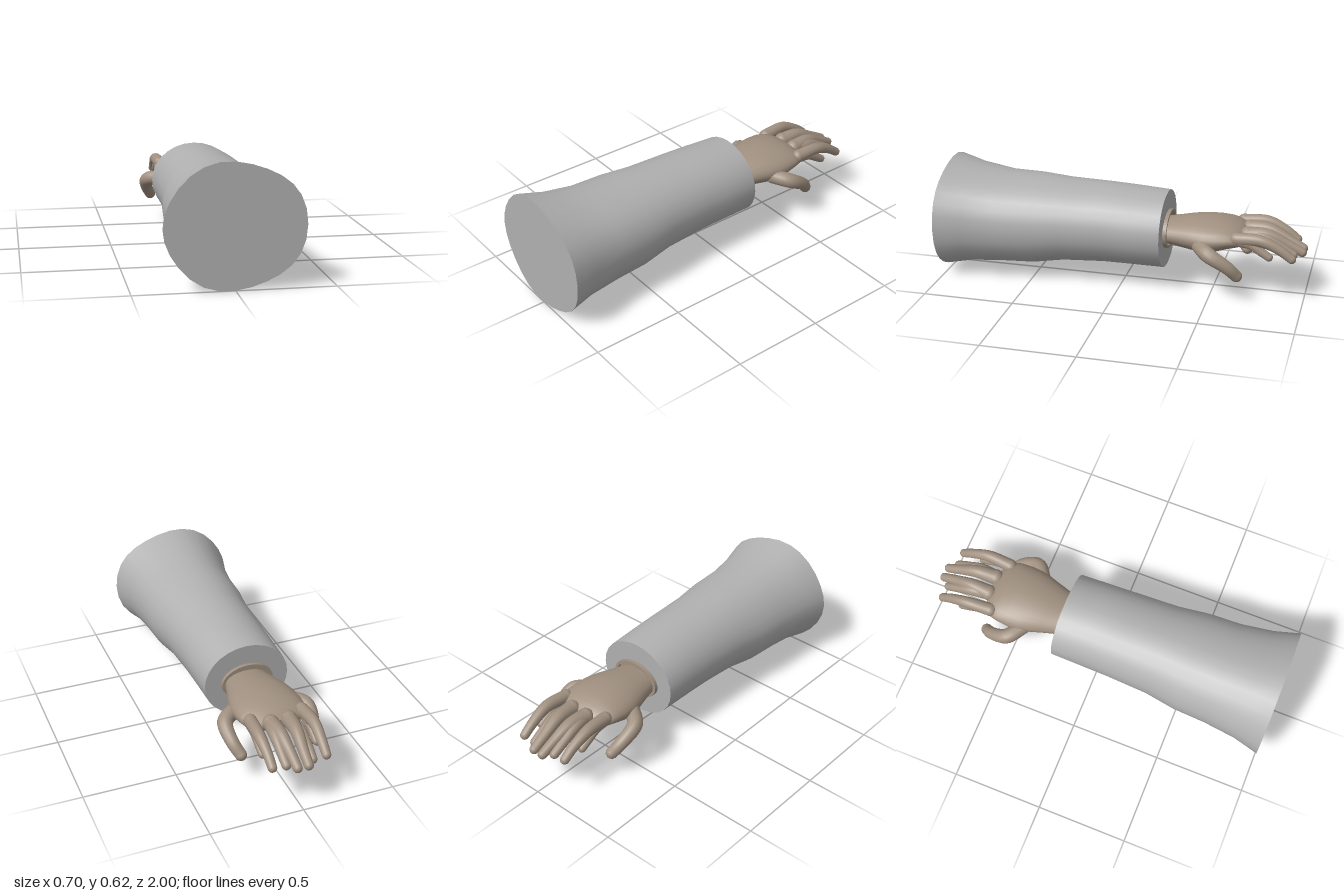
import * as THREE from 'three';

const sleeveGrey = new THREE.MeshStandardMaterial({ color: 0xb0b0b0 });
sleeveGrey.name = 'sleeve grey';
const skinTan = new THREE.MeshStandardMaterial({ color: 0xa09080 });
skinTan.name = 'skin tan';

// Lofts elliptical rings [z, halfWidth, bottomY, topY, skew] running toward -z, with flat caps.
function loft(sections, sides) {
  const pos = [], index = [];
  const ring = ([z, w, y0, y1, skew = 0]) => {
    for (let j = 0; j < sides; j++) {
      const a = (j / sides) * Math.PI * 2;
      const v = Math.cos(a) - skew * Math.sin(4 * a);
      pos.push(w * Math.sin(a), (y0 + y1) / 2 + ((y1 - y0) / 2) * v, z);
    }
  };
  sections.forEach(ring);
  for (let i = 0; i < sections.length - 1; i++) {
    for (let j = 0; j < sides; j++) {
      const a = i * sides + j, b = i * sides + ((j + 1) % sides);
      index.push(a, b, a + sides, b, b + sides, a + sides);
    }
  }
  // Caps have their own vertices so that the rim stays sharp
  [sections[0], sections[sections.length - 1]].forEach((s, end) => {
    const base = pos.length / 3;
    ring(s);
    pos.push(0, (s[2] + s[3]) / 2, s[0]);
    for (let j = 0; j < sides; j++) {
      const a = base + j, b = base + ((j + 1) % sides);
      index.push(base + sides, ...(end ? [a, b] : [b, a]));
    }
  });
  const g = new THREE.BufferGeometry();
  g.setAttribute('position', new THREE.Float32BufferAttribute(pos, 3));
  g.setIndex(index);
  g.computeVertexNormals();
  return g;
}

function addMesh(parent, name, geometry, material) {
  const m = new THREE.Mesh(geometry, material);
  m.name = name;
  parent.add(m);
  return m;
}

// Tapered, bent finger with round ends; joints are [x, y, z, radius].
function finger(name, joints, mirror) {
  const group = new THREE.Group();
  group.name = name;
  const pts = joints.map(([x, y, z]) => new THREE.Vector3(x * mirror, y, z));
  const curve = new THREE.CatmullRomCurve3(pts, false, 'centripetal');
  const steps = 18, sides = 14;
  const tube = new THREE.TubeGeometry(curve, steps, 1, sides, false);
  const p = tube.attributes.position, v = new THREE.Vector3();
  for (let i = 0; i <= steps; i++) {
    const c = curve.getPointAt(i / steps);
    const t = (i / steps) * (joints.length - 1);
    const k = Math.min(Math.floor(t), joints.length - 2);
    const r = THREE.MathUtils.lerp(joints[k][3], joints[k + 1][3], t - k);
    for (let j = 0; j <= sides; j++) {
      const n = i * (sides + 1) + j;
      v.fromBufferAttribute(p, n).sub(c).multiplyScalar(r).add(c);
      p.setXYZ(n, v.x, v.y, v.z);
    }
  }
  addMesh(group, 'fingerShaft', tube, skinTan);
  [0, joints.length - 1].forEach((k) => {
    const ball = addMesh(group, k ? 'fingerTip' : 'knuckle',
      new THREE.SphereGeometry(joints[k][3], 14, 10), skinTan);
    ball.position.copy(pts[k]);
  });
  return group;
}

export function createModel() {
  const model = new THREE.Group();
  model.name = 'sleevedHand';

  // Flared sleeve
  addMesh(model, 'sleeve', loft([
    [1, 0.35, 0, 0.624, 0.028],
    [0.86, 0.313, 0.03, 0.586, 0.025],
    [0.68, 0.29, 0.045, 0.558, 0.02],
    [0.5, 0.282, 0.055, 0.555, 0.015],
    [0.33, 0.257, 0.085, 0.543, 0.01],
    [0.1, 0.247, 0.1, 0.538, 0.005],
    [-0.05, 0.243, 0.101, 0.532],
    [-0.235, 0.238, 0.1, 0.52],
  ], 28), sleeveGrey);

  // Wrist collar: an oval ring around a recessed disc
  const collar = new THREE.Shape().absellipse(0, 0, 0.145, 0.101, 0, Math.PI * 2);
  collar.holes.push(new THREE.Path().absellipse(0, 0, 0.128, 0.086, 0, Math.PI * 2, true));
  const ring = addMesh(model, 'wristCollar', new THREE.ExtrudeGeometry(collar,
    { depth: 0.025, bevelEnabled: false, curveSegments: 28 }), skinTan);
  ring.position.set(0, 0.31, -0.255);
  addMesh(model, 'wristDisc', loft([
    [-0.23, 0.135, 0.218, 0.402], [-0.238, 0.135, 0.218, 0.402],
  ], 28), skinTan);

  // Palm
  addMesh(model, 'palm', loft([
    [-0.23, 0.122, 0.238, 0.37],
    [-0.28, 0.135, 0.235, 0.378],
    [-0.34, 0.153, 0.226, 0.39],
    [-0.4, 0.172, 0.219, 0.399],
    [-0.46, 0.186, 0.217, 0.402],
    [-0.52, 0.188, 0.228, 0.402],
    [-0.58, 0.184, 0.25, 0.394],
    [-0.63, 0.172, 0.266, 0.378],
    [-0.66, 0.145, 0.272, 0.36],
    [-0.685, 0.08, 0.29, 0.34],
  ], 28), skinTan);

  // Each side carries a full set of digits, mirrored across the middle
  const digits = {
    indexFinger: [[-0.142, 0.34, -0.635, 0.036], [-0.15, 0.343, -0.77, 0.033],
      [-0.147, 0.3, -0.87, 0.028], [-0.146, 0.256, -0.932, 0.024]],
    middleFinger: [[-0.05, 0.335, -0.683, 0.044], [-0.043, 0.337, -0.79, 0.036],
      [-0.034, 0.29, -0.9, 0.029], [-0.03, 0.253, -0.975, 0.025]],
    ringFinger: [[0.05, 0.325, -0.67, 0.038], [0.066, 0.33, -0.77, 0.033],
      [0.071, 0.285, -0.87, 0.027], [0.071, 0.25, -0.932, 0.024]],
    littleFinger: [[0.142, 0.333, -0.63, 0.033], [0.146, 0.32, -0.71, 0.029],
      [0.148, 0.28, -0.775, 0.025], [0.148, 0.256, -0.812, 0.022]],
    thumb: [[-0.15, 0.285, -0.44, 0.042], [-0.228, 0.267, -0.505, 0.042],
      [-0.225, 0.205, -0.605, 0.036], [-0.198, 0.152, -0.65, 0.032]],
  };
  for (const mirror of [1, -1]) {
    for (const [name, joints] of Object.entries(digits)) {
      model.add(finger((mirror > 0 ? 'right ' : 'left ') + name, joints, mirror));
    }
  }
  return model;
}
